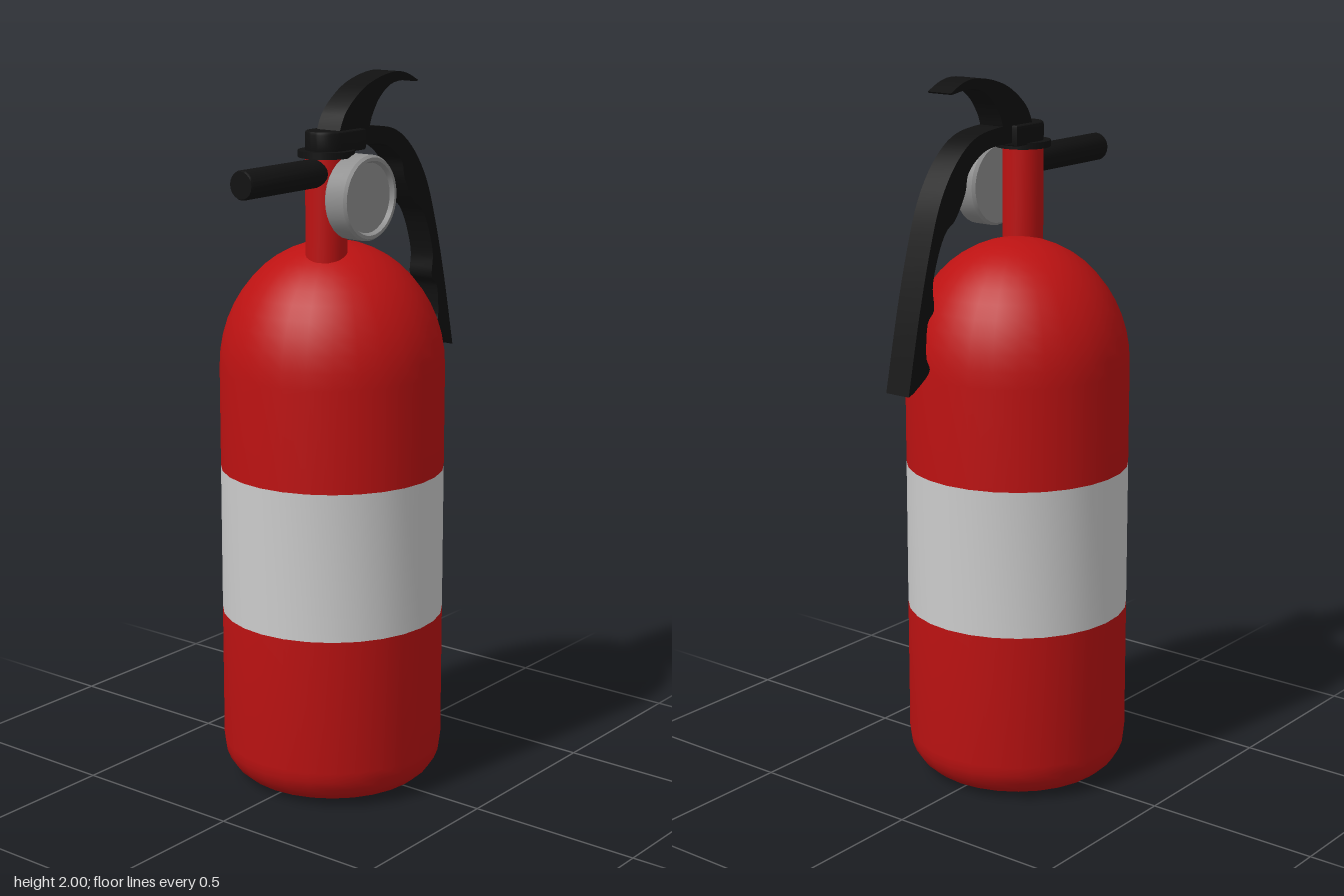
import * as THREE from 'three';
import { toCreasedNormals } from 'three/addons/utils/BufferGeometryUtils.js';

const paint = (color) => new THREE.MeshStandardMaterial({ color });
const red = paint(0xbc1212);
const black = paint(0x111111);
const grey = paint(0xcccccc);
const gaugeGrey = paint(0x909090);

const V = (x, y) => new THREE.Vector2(x, y);
const points = (list) => list.map(([x, y]) => V(x, y));

function part(name, geometry, material, x = 0, y = 0, z = 0, crease = 0.6) {
  const mesh = new THREE.Mesh(toCreasedNormals(geometry, crease), material);
  mesh.name = name;
  mesh.position.set(x, y, z);
  return mesh;
}

// Side profile in (z, y): a smooth outer edge and a smooth inner edge, extruded across x
function leverGeometry(outer, inner) {
  const shape = new THREE.Shape();
  shape.moveTo(...outer[0]);
  shape.splineThru(points(outer.slice(1)));
  shape.lineTo(...inner[0]);
  shape.splineThru(points(inner.slice(1)));
  shape.closePath();
  const geometry = new THREE.ExtrudeGeometry(shape, { depth: 0.078, bevelEnabled: false, curveSegments: 4 });
  return geometry.rotateY(-Math.PI / 2);
}

export function createModel() {
  const group = new THREE.Group();
  const R = 0.313, bodyZ = 0.018, valveX = 0.041, valveZ = 0.095;

  // Tank: rounded base, label band and elliptical dome
  const base = [V(0, 0.002), V(0.21, 0.002)];
  for (let i = 1; i <= 6; i++) {
    const a = (i / 6) * Math.PI / 2;
    base.push(V(0.21 + (R - 0.21) * Math.sin(a), 0.112 - 0.11 * Math.cos(a)));
  }
  base.push(V(R, 0.497));
  const dome = [V(R, 0.915)];
  for (let i = 0; i <= 12; i++) {
    const a = (i / 12) * Math.PI / 2;
    dome.push(V(R * Math.cos(a), 1.2 + 0.352 * Math.sin(a)));
  }
  const lathe = (profile) => new THREE.LatheGeometry(profile, 28);
  group.add(part('tankBase', lathe(base), red, 0, 0, bodyZ));
  group.add(part('labelBand', lathe([V(R, 0.497), V(R, 0.915)]), grey, 0, 0, bodyZ));
  group.add(part('tankDome', lathe(dome), red, 0, 0, bodyZ));

  // Neck and collar
  group.add(part('neck', new THREE.CylinderGeometry(0.057, 0.057, 0.31, 24), red, valveX, 1.64, valveZ));
  group.add(part('collar', new THREE.CylinderGeometry(0.077, 0.077, 0.018, 28), black, valveX, 1.8, valveZ));

  // Valve block: square at the back, round at the front
  const block = new THREE.Shape();
  block.moveTo(0.057, 0.1);
  block.lineTo(-0.057, 0.1);
  block.lineTo(-0.057, 0);
  block.absarc(0, 0, 0.057, Math.PI, Math.PI * 2, false);
  const blockGeometry = new THREE.ExtrudeGeometry(block, {
    depth: 0.04, bevelThickness: 0.008, bevelSize: 0.004, bevelOffset: -0.004, bevelSegments: 2,
  });
  blockGeometry.rotateX(-Math.PI / 2);
  group.add(part('valveBlock', blockGeometry, black, valveX, 1.812, valveZ));

  // Nozzle with a bevelled tip
  const nozzle = new THREE.LatheGeometry(
    points([[0, 0], [0.039, 0], [0.039, 0.37], [0.036, 0.375], [0, 0.375]]), 20).rotateX(Math.PI / 2);
  group.add(part('nozzle', nozzle, black, valveX, 1.751, 0.07));

  // Pressure gauge: rounded drum with a shallow recessed dial facing +x
  const gauge = new THREE.LatheGeometry(points([
    [0, 0], [0.108, 0], [0.115, 0.008], [0.115, 0.066], [0.109, 0.074], [0.1, 0.074], [0.094, 0.062], [0, 0.062],
  ]), 32).rotateZ(-Math.PI / 2);
  group.add(part('pressureGauge', gauge, gaugeGrey, 0.092, 1.685, 0.057));

  // Curved squeeze lever
  const lever = leverGeometry(
    [[0.09, 1.85], [0.06, 1.907], [-0.008, 1.96], [-0.08, 1.988], [-0.156, 2], [-0.21, 1.993], [-0.262, 1.97]],
    [[-0.258, 1.966], [-0.19, 1.974], [-0.135, 1.966], [-0.087, 1.934], [-0.055, 1.89], [-0.02, 1.83], [0.09, 1.83]]);
  group.add(part('squeezeLever', lever, black, 0.08));

  // Carry handle with finger grips
  const handle = leverGeometry(
    [[0.06, 1.86], [-0.07, 1.86], [-0.167, 1.84], [-0.246, 1.78], [-0.31, 1.685], [-0.357, 1.553], [-0.4, 1.394], [-0.445, 1.193]],
    [[-0.425, 1.2], [-0.36, 1.245], [-0.372, 1.29], [-0.365, 1.375], [-0.338, 1.41], [-0.342, 1.475], [-0.317, 1.555],
      [-0.285, 1.61], [-0.247, 1.637], [-0.206, 1.7], [-0.19, 1.755], [-0.135, 1.797], [-0.07, 1.812], [0.06, 1.812]]);
  group.add(part('carryHandle', handle, black, 0.08));

  return group;
}
